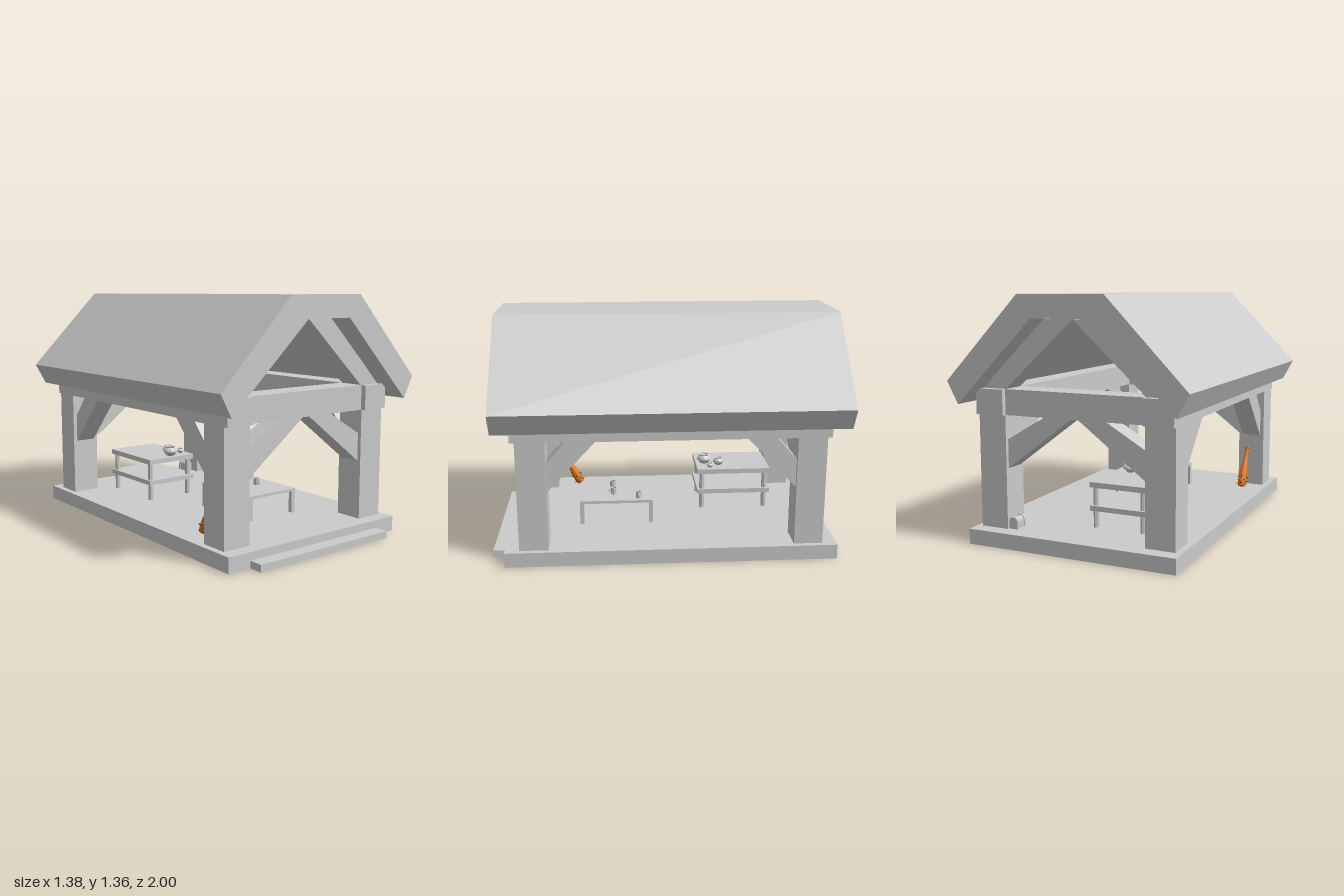
import * as THREE from 'three';

const material = (color) => new THREE.MeshStandardMaterial({ color, flatShading: true });
const grey = material(0xcccccc);
const orange = material(0xe07408);
const dark = material(0x222222);

function add(parent, name, geometry, mat = grey) {
  const mesh = new THREE.Mesh(geometry, mat);
  mesh.name = name;
  parent.add(mesh);
  return mesh;
}

function group(parent, name, x = 0, y = 0, z = 0) {
  const g = new THREE.Group();
  g.name = name;
  g.position.set(x, y, z);
  parent.add(g);
  return g;
}

// Box given by its lower and upper limits on each axis
function box(parent, name, [x0, x1], [y0, y1], [z0, z1]) {
  const geometry = new THREE.BoxGeometry(x1 - x0, y1 - y0, z1 - z0);
  geometry.translate((x0 + x1) / 2, (y0 + y1) / 2, (z0 + z1) / 2);
  return add(parent, name, geometry);
}

// Flat outline extruded along z, centred on its depth
function slab(points, depth) {
  const shape = new THREE.Shape(points.map(([x, y]) => new THREE.Vector2(x, y)));
  return new THREE.ExtrudeGeometry(shape, { depth, bevelEnabled: false }).translate(0, 0, -depth / 2);
}

function lathe(points, sides) {
  return new THREE.LatheGeometry(points.map(([r, y]) => new THREE.Vector2(r, y)), sides);
}

const FLOOR = 0.085;
const MID_Z = -0.02; // middle of the timber frame
const POST_Z = 0.777; // distance of the posts from that middle

function buildFrame(parent) {
  const frame = group(parent, 'timberFrame', 0, 0, MID_Z);
  for (const sx of [-1, 1]) {
    const side = sx < 0 ? [-0.576, -0.41] : [0.41, 0.576];
    box(frame, 'sideBeam', side, [0.715, 0.855], [-0.885, 0.885]);
    for (const sz of [-1, 1]) {
      const z = sz * POST_Z;
      box(frame, 'post', side, [FLOOR, 0.715], [z - 0.082, z + 0.082]);

      // Brace from post to cross beam
      const cross = [[0.41, 0.42], [0.41, 0.58], [0.18, 0.715], [0.018, 0.715]];
      add(frame, 'crossBrace', slab(cross.map(([x, y]) => [sx * x, y]), 0.12)).position.z = z;

      // Brace from post to side beam
      const along = [[0.695, 0.42], [0.695, 0.585], [0.58, 0.715], [0.415, 0.715]];
      const brace = add(frame, 'sideBrace', slab(along.map(([d, y]) => [sz * d, y]), 0.12));
      brace.rotation.y = -Math.PI / 2;
      brace.position.x = sx * 0.493;

      // Rafter under the roof
      const rafter = [[0.41, 0.855], [0.553, 0.855], [0.168, 1.232], [0, 1.232]];
      add(frame, 'rafter', slab(rafter.map(([x, y]) => [sx * x, y]), 0.14)).position.z = z;
    }
  }
  for (const sz of [-1, 1]) {
    const z = sz * POST_Z;
    box(frame, 'crossBeam', [-0.41, 0.41], [0.715, 0.855], [z - 0.078, z + 0.078]);
  }
}

function buildRoof(parent) {
  const half = [[0.246, 1.36], [0.692, 0.9], [0.626, 0.778], [0.168, 1.238]];
  const outline = [...half, ...half.map(([x, y]) => [-x, y]).reverse()];
  add(parent, 'roof', slab(outline, 1.96)).position.z = -0.02;
}

// Mug with a wall, a floor inside and a handle turned by angle
function buildCup(parent, x, z, angle) {
  const cup = group(parent, 'cup', x, 0.23, z);
  add(cup, 'cupBody', lathe([[0, 0], [0.017, 0], [0.018, 0.04], [0.014, 0.04], [0.014, 0.006], [0, 0.006]], 10));
  const handle = add(cup, 'cupHandle', new THREE.TorusGeometry(0.011, 0.003, 5, 8, Math.PI));
  handle.geometry.rotateZ(-Math.PI / 2).translate(0.016, 0.02, 0);
  cup.rotation.y = angle;
}

function buildTable(parent) {
  const table = group(parent, 'table');
  box(table, 'tableTop', [-0.13, 0.218], [0.213, 0.23], [0.07, 0.51]);
  for (const x of [-0.13, 0.193])
    for (const z of [0.07, 0.485])
      box(table, 'tableLeg', [x, x + 0.025], [FLOOR, 0.213], [z, z + 0.025]);
  buildCup(table, -0.022, 0.31, Math.PI);
  buildCup(table, 0.096, 0.305, -Math.PI / 2);
  buildCup(table, 0.172, 0.155, 0);
}

function buildPot(parent, x, z, r, h) {
  const profile = [[0, 0], [0.55, 0], [1, 0.45], [0.92, 0.65], [0.62, 0.88], [0.72, 1], [0.55, 1], [0.5, 0.85], [0, 0.8]];
  add(parent, 'pot', lathe(profile.map(([a, b]) => [a * r, b * h]), 12)).position.set(x, 0.343, z);
}

function buildShelf(parent) {
  const shelf = group(parent, 'shelf');
  box(shelf, 'upperBoard', [-0.32, 0.012], [0.313, 0.343], [-0.675, -0.22]);
  box(shelf, 'lowerBoard', [-0.32, 0.012], [0.183, 0.211], [-0.675, -0.22]);
  for (const x of [-0.295, -0.013])
    for (const z of [-0.25, -0.645]) {
      const leg = add(shelf, 'shelfLeg', new THREE.CylinderGeometry(0.016, 0.016, 0.23, 8));
      leg.position.set(x, FLOOR + 0.115, z);
    }
  buildPot(shelf, -0.128, -0.275, 0.045, 0.057);
  buildPot(shelf, -0.087, -0.362, 0.034, 0.046);
  buildPot(shelf, -0.031, -0.303, 0.02, 0.03);
}

// Club leaning on a front post, thick studded end down
function buildClub(parent) {
  const club = group(parent, 'club', -0.475, 0.1, 0.53);
  club.rotation.x = 0.487;
  const profile = [[0, 0], [0.022, 0], [0.027, 0.03], [0.026, 0.08], [0.02, 0.14], [0.012, 0.2], [0.01, 0.255], [0.014, 0.26], [0.014, 0.272], [0, 0.272]];
  add(club, 'clubBody', lathe(profile, 10), orange);
  for (let row = 0; row < 3; row++)
    for (let i = 0; i < 4; i++) {
      const spike = add(club, 'spike', new THREE.ConeGeometry(0.005, 0.016, 5), dark);
      spike.geometry.rotateZ(-Math.PI / 2).translate(0.031, 0.015 + row * 0.022, 0);
      spike.rotation.y = (i + row * 0.5) * Math.PI / 2;
    }
}

// Small chest with a rounded lid and raised bands
function buildChest(parent) {
  const chest = group(parent, 'chest', 0.383, FLOOR, -0.825);
  const arch = (r, wall, depth) => {
    const points = [[-r, 0], [r, 0]];
    for (let i = 0; i <= 8; i++) {
      const a = (i / 8) * Math.PI;
      points.push([r * Math.cos(a), wall + r * Math.sin(a)]);
    }
    return slab(points, depth);
  };
  add(chest, 'chestBody', arch(0.023, 0.039, 0.08));
  for (const z of [-0.034, 0.034]) add(chest, 'chestBand', arch(0.027, 0.039, 0.014)).position.z = z;
}

export function createModel() {
  const model = new THREE.Group();
  model.name = 'shelter';
  box(model, 'floor', [-0.612, 0.607], [0, FLOOR], [-0.96, 0.92]);
  box(model, 'step', [-0.47, 0.464], [0, 0.04], [0.92, 1]);
  buildFrame(model);
  buildRoof(model);
  buildTable(model);
  buildShelf(model);
  buildClub(model);
  buildChest(model);
  return model;
}
